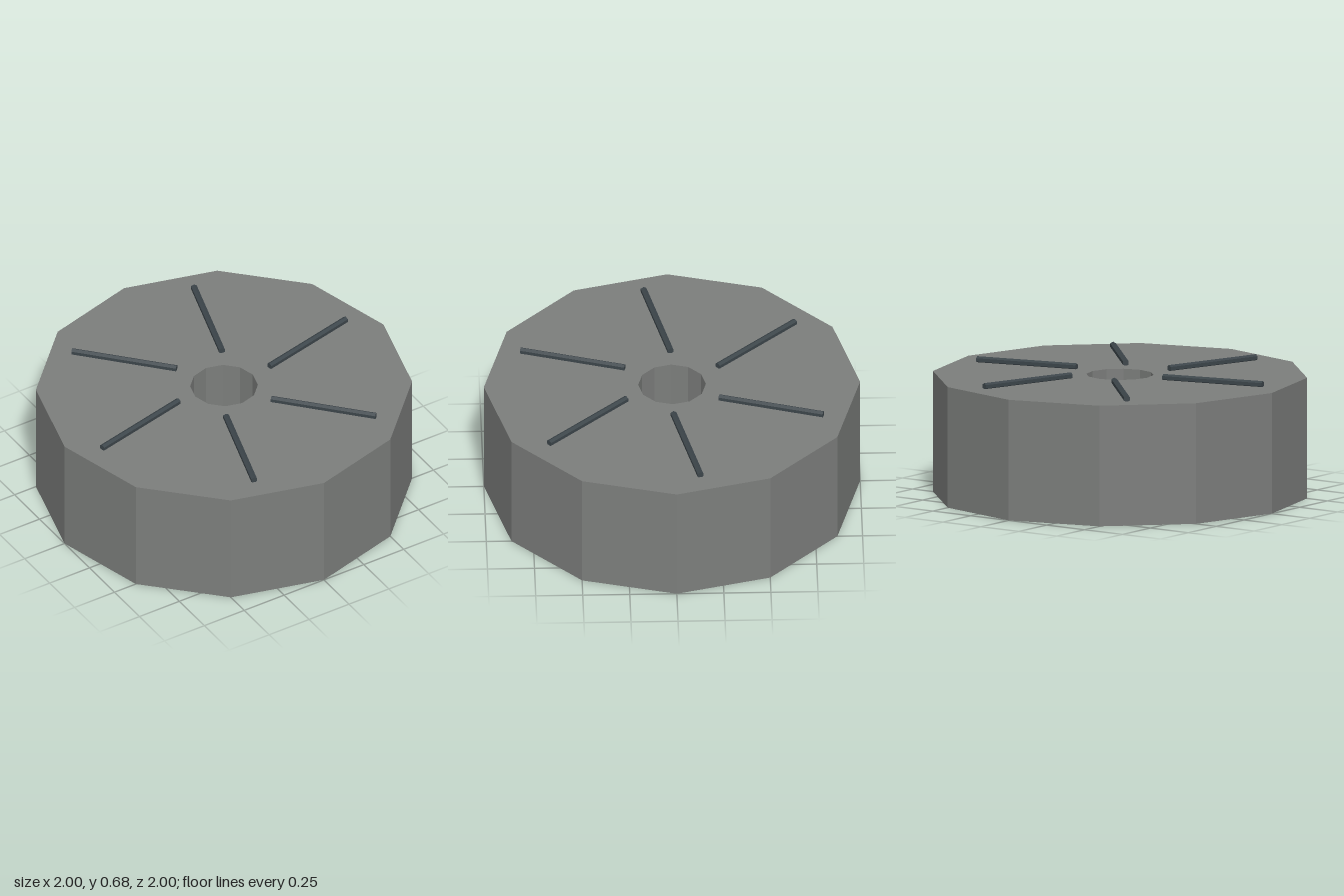
import * as THREE from 'three';

const HEIGHT = 0.65;

// Twelve-sided outline with a corner on +x
function ring(radius) {
  return Array.from({ length: 12 }, (_, i) => {
    const a = (i * Math.PI) / 6;
    return new THREE.Vector2(radius * Math.cos(a), radius * Math.sin(a));
  });
}

export function createModel() {
  const group = new THREE.Group();
  group.name = 'millstone';
  const stoneMaterial = new THREE.MeshStandardMaterial({ color: 0x7c7e7c, flatShading: true });
  const ridgeMaterial = new THREE.MeshStandardMaterial({ color: 0x3c454a, flatShading: true });

  // Stone disc with a central eye
  const outline = new THREE.Shape(ring(1));
  outline.holes.push(new THREE.Path(ring(0.18).reverse()));
  const stoneGeometry = new THREE.ExtrudeGeometry(outline, { depth: HEIGHT, bevelEnabled: false });
  stoneGeometry.rotateX(-Math.PI / 2);
  const stone = new THREE.Mesh(stoneGeometry, stoneMaterial);
  stone.name = 'stoneDisc';
  group.add(stone);

  // Six slanted hexagonal ridges on the top face, one edge up
  const ridgeGeometry = new THREE.CylinderGeometry(0.018, 0.018, 0.575, 6);
  ridgeGeometry.rotateY(Math.PI / 2);
  ridgeGeometry.rotateZ(Math.PI / 2);
  ridgeGeometry.rotateY(THREE.MathUtils.degToRad(13));
  ridgeGeometry.translate(0.565, HEIGHT + 0.013, -0.065);
  for (let i = 0; i < 6; i++) {
    const ridge = new THREE.Mesh(ridgeGeometry, ridgeMaterial);
    ridge.name = `grindingRidge${i + 1}`;
    ridge.rotation.y = (i * Math.PI) / 3;
    group.add(ridge);
  }

  return group;
}
